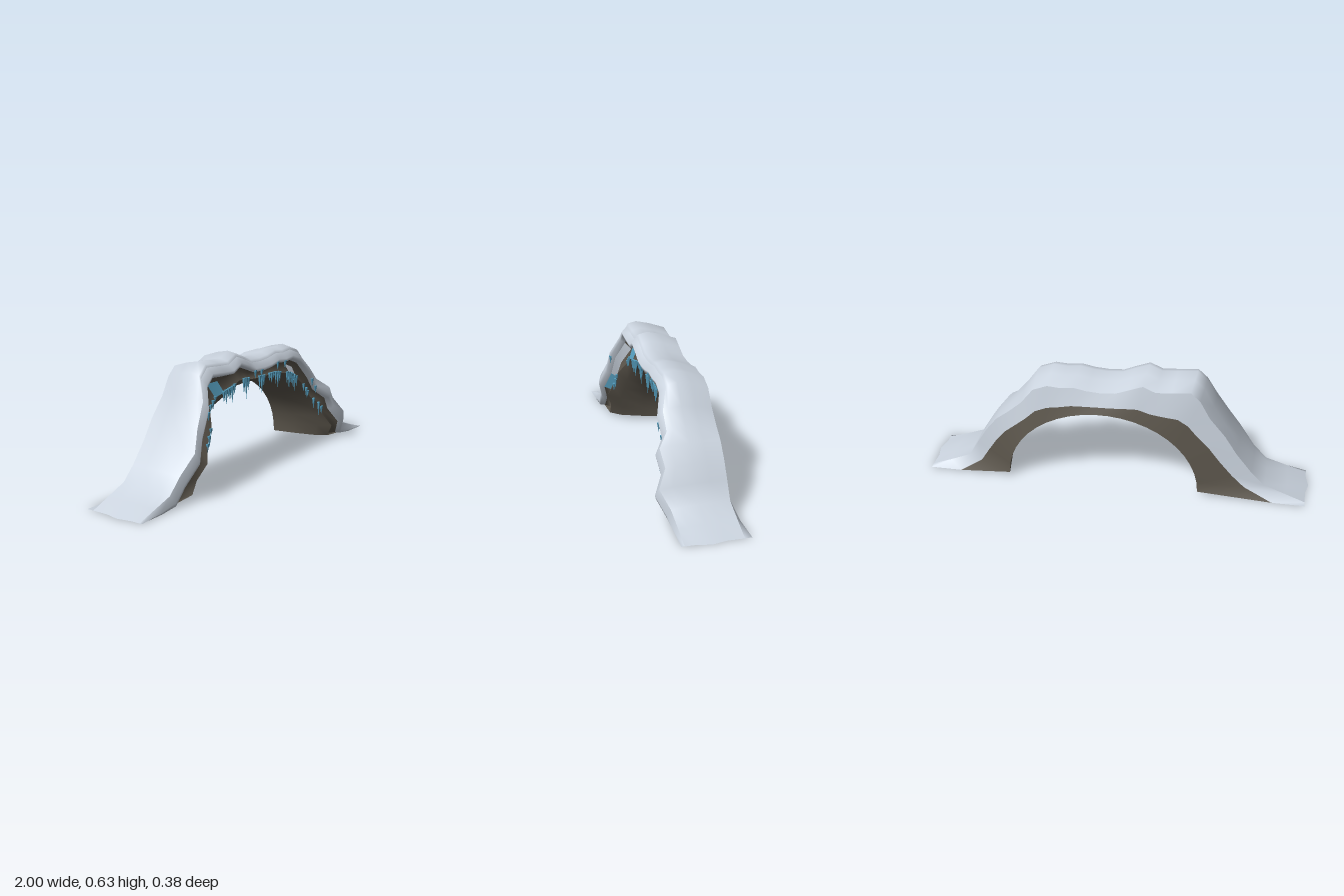
import * as THREE from 'three';

const { smoothstep, lerp } = THREE.MathUtils;
const material = (name, color) =>
  new THREE.MeshStandardMaterial({ name, color, side: THREE.DoubleSide });

// Outer ridge of the arch, left foot to right foot
const RIDGE = [
  [-1, 0], [-0.89, 0.04], [-0.78, 0.08], [-0.71, 0.15], [-0.63, 0.25], [-0.57, 0.35],
  [-0.5, 0.47], [-0.45, 0.57], [-0.4, 0.615], [-0.3, 0.605], [-0.22, 0.6], [-0.155, 0.628],
  [-0.08, 0.6], [-0.02, 0.575], [0.06, 0.57], [0.13, 0.575], [0.2, 0.588], [0.27, 0.58],
  [0.34, 0.585], [0.42, 0.555], [0.49, 0.46], [0.56, 0.38], [0.62, 0.325], [0.68, 0.25],
  [0.73, 0.17], [0.78, 0.085], [0.89, 0.04], [1, 0],
];
const LAST = RIDGE.length - 1;

// Drifts that push the snow lip forward or back: x, amount
const DRIFTS = [[-0.63, 0.03], [-0.5, 0.02], [0.56, -0.03], [0.62, 0.015], [0.73, 0.045]];

// Cross-section at one ridge point, split into the strips of the skin
function section([x, y], i) {
  const end = i === 0 || i === LAST;
  const foot = i < 2 || i > LAST - 2;
  const angle = Math.PI * (1 - (i - 2) / (LAST - 4));
  const crown = smoothstep(y, 0.3, 0.55);
  const outer = new THREE.Vector2(x, y);
  const lip = end ? outer : new THREE.Vector2(x * 0.95, Math.max(0, y - 0.07));
  const inner = foot
    ? new THREE.Vector2(end ? x : Math.sign(x) * 0.82, 0)
    : new THREE.Vector2(0.055 + 0.495 * Math.cos(angle), 0.02 + 0.4 * Math.sin(angle));
  const share = foot ? 1 : 0.3 + 0.36 * Math.sin(angle);
  const front = DRIFTS.reduce(
    (z, [dx, amount]) => z + amount * Math.exp(-(((x - dx) / 0.03) ** 2)),
    lerp(0.14, 0.083, smoothstep(y, 0.35, 0.58)));

  // Point part of the way from p to q at depth z; the foot ends are rounded
  const at = (p, q, t, z) => {
    const v = p.clone().lerp(q, t);
    return new THREE.Vector3(end && z !== 0 ? v.x * 0.985 : v.x, v.y, z);
  };
  const drop = (0.005 + 0.04 * crown) / Math.max(outer.distanceTo(inner), 0.05);
  const bend = 0.2 + 0.15 * crown;
  const back = at(outer, inner, drop, -0.155);
  const backRim = at(inner, inner, 0, -0.19);
  const border = backRim.clone().lerp(back, 1 - share);
  const shoulder = at(outer, lip, bend, front - 0.015 - 0.015 * crown);
  const underLip = at(lip, inner, 0.05, front - 0.03);
  const rim = at(lip, inner, 0.5, front - 0.03);
  return {
    backRock: [backRim, border],
    backSnow: [border, back],
    topSnow: [
      back, at(outer, inner, drop * 0.35, -0.07), at(outer, inner, 0, 0),
      at(outer, lip, bend * 0.4, (front - 0.015) * 0.65), shoulder,
    ],
    snowLip: [shoulder, at(outer, lip, 0.75, front), at(lip, lip, 0, front - 0.005), underLip],
    frontRock: [underLip, at(lip, inner, 0.2, front - 0.06), rim],
    tunnel: [
      rim, at(lip, inner, 0.7, front * 0.5 - 0.015), at(lip, inner, 0.87, -0.06), backRim,
    ],
  };
}

// Loft one strip between two stations, keeping only the chosen cells
function skin(sections, strip, from, to, keep = () => true) {
  const width = sections[0][strip].length;
  const index = [];
  for (let u = from; u < to; u++) {
    for (let v = 0; v < width - 1; v++) {
      if (!keep(u, v)) continue;
      const a = u * width + v, b = a + width;
      index.push(a, a + 1, b, b, a + 1, b + 1);
    }
  }
  const geometry = new THREE.BufferGeometry().setFromPoints(sections.flatMap((s) => s[strip]));
  geometry.setIndex(index);
  geometry.computeVertexNormals();
  return geometry;
}

// Point at a given x along one lengthwise edge of the skin
function edgePoint(sections, strip, column, x) {
  const edge = sections.map((s) => s[strip][column]);
  const next = edge.findIndex((p) => p.x > x);
  const a = edge[next - 1], b = edge[next];
  return a.clone().lerp(b, (x - a.x) / (b.x - a.x));
}

// Icicle clusters under the rock rim (centre x, length) and single ones on the snow lip (x)
const RIM_CLUSTERS = [
  [-0.45, 0.06], [-0.35, 0.05], [-0.24, 0.08], [-0.19, 0.09], [-0.07, 0.11], [0.07, 0.1],
  [0.16, 0.06], [0.22, 0.09], [0.33, 0.1], [0.38, 0.1], [0.46, 0.06], [0.54, 0.08],
];
const LIP_ICICLES = [-0.48, -0.025, 0.03, 0.18, 0.25, 0.48, 0.52];

export function createModel() {
  const snow = material('snow', 0xcbd4df);
  const rock = material('rock', 0x5d574d);
  const ice = material('ice', 0x559dbd);
  const group = new THREE.Group();
  group.name = 'snowyRockArch';
  const add = (name, geometry, mat) => {
    const mesh = new THREE.Mesh(geometry, mat);
    mesh.name = name;
    group.add(mesh);
    return mesh;
  };
  const sections = RIDGE.map(section);

  // Snow cover
  add('snowTop', skin(sections, 'topSnow', 0, LAST), snow);
  add('snowLip', skin(sections, 'snowLip', 0, LAST), snow);
  add('snowBack', skin(sections, 'backSnow', 0, LAST), snow);

  // Rock body, with patches of snow and ice on its front
  const isSnow = (u, v) => (v === 0 && (u === 5 || u === 6)) || (v === 1 && u === 18);
  const isIce = (u, v) => (v === 1 && u === 8) || (v === 0 && u === 4);
  add('rockFront', skin(sections, 'frontRock', 1, LAST - 1,
    (u, v) => !isSnow(u, v) && !isIce(u, v)), rock);
  add('snowPatches', skin(sections, 'frontRock', 1, LAST - 1, isSnow), snow);
  add('icePatches', skin(sections, 'frontRock', 1, LAST - 1, isIce), ice);
  add('rockTunnel', skin(sections, 'tunnel', 2, LAST - 2), rock);
  add('rockBack', skin(sections, 'backRock', 1, LAST - 1), rock);

  // Hanging icicles
  const cone = new THREE.ConeGeometry(1, 1, 5).toNonIndexed();
  cone.rotateX(Math.PI).translate(0, -0.5, 0);
  cone.computeVertexNormals();
  const hang = (strip, column, x, length) => {
    const icicle = add('icicle', cone, ice);
    icicle.position.copy(edgePoint(sections, strip, column, x));
    icicle.position.y += 0.008;
    icicle.scale.set(0.011, length, 0.009);
  };
  for (const [x, length] of RIM_CLUSTERS) {
    hang('frontRock', 2, x - 0.02, length * 0.75);
    hang('frontRock', 2, x, length);
    hang('frontRock', 2, x + 0.018, length * 0.6);
  }
  for (const x of LIP_ICICLES) hang('snowLip', 2, x, 0.045);
  return group;
}
